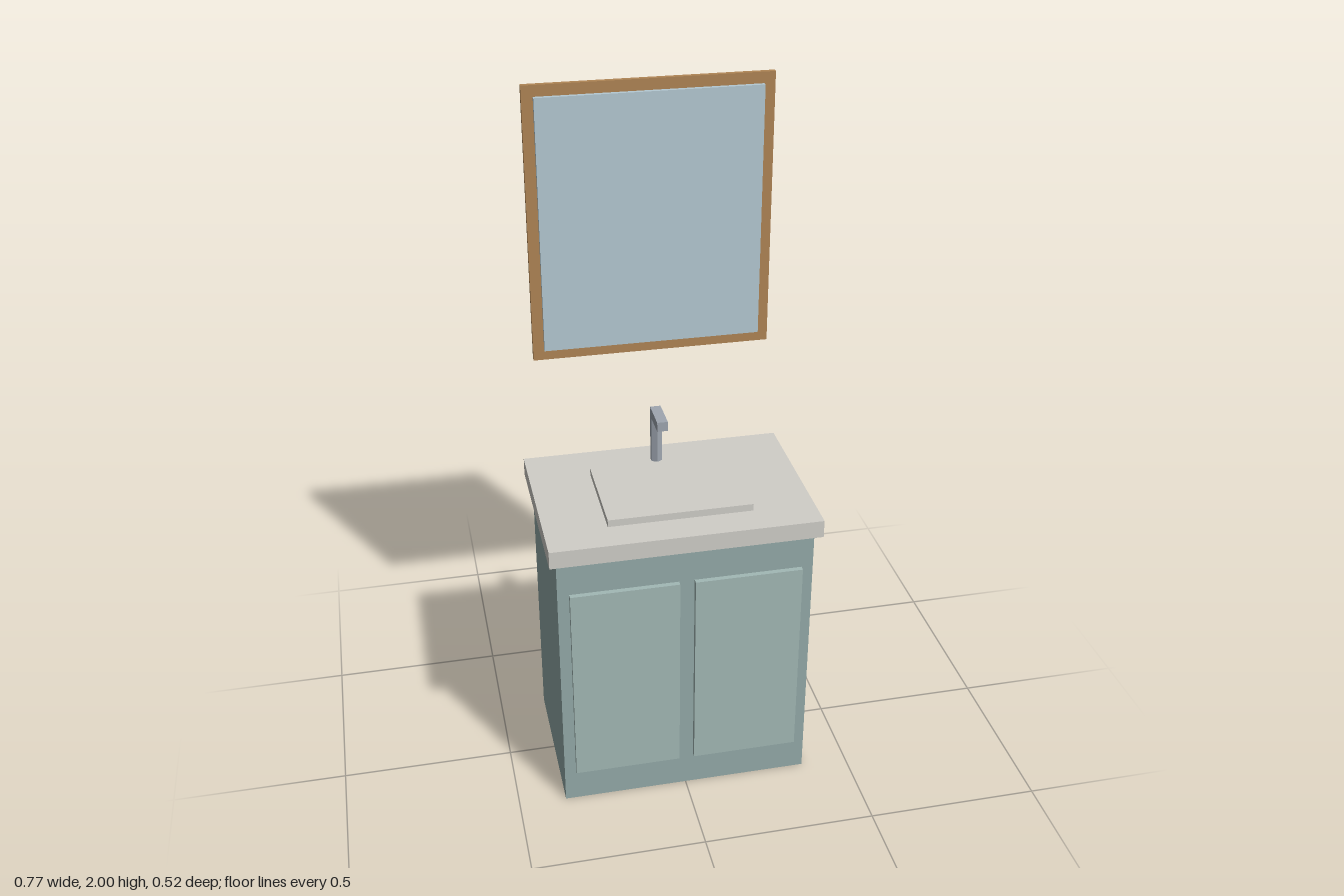
import * as THREE from 'three';

const mat = (color) => new THREE.MeshStandardMaterial({ color, flatShading: true });

// Box given by its [min, max] extent on each axis
function box(name, [x0, x1], [y0, y1], [z0, z1], material) {
  const mesh = new THREE.Mesh(new THREE.BoxGeometry(x1 - x0, y1 - y0, z1 - z0), material);
  mesh.position.set((x0 + x1) / 2, (y0 + y1) / 2, (z0 + z1) / 2);
  mesh.name = name;
  return mesh;
}

export function createModel() {
  const model = new THREE.Group();
  model.name = 'bathroomVanity';
  const cabinetMat = mat(0x93aaa8);
  const doorMat = mat(0xa2b8b5);
  const stoneMat = mat(0xd0cec8);
  const metalMat = mat(0x9fa6b0);
  const woodMat = mat(0xb08555);
  const glassMat = mat(0xb4c9d3);

  // Cabinet with two raised doors
  model.add(box('cabinet', [-0.363, 0.363], [0, 0.832], [-0.236, 0.239], cabinetMat));
  for (const [name, side] of [['leftDoor', 1], ['rightDoor', -1]]) {
    const door = box(name, [-0.154, 0.154], [0.105, 0.727], [0.23, 0.254], doorMat);
    door.position.x = side * 0.176;
    model.add(door);
  }

  // Countertop and raised basin slab
  model.add(box('countertop', [-0.383, 0.383], [0.832, 0.884], [-0.26, 0.26], stoneMat));
  model.add(box('basin', [-0.206, 0.206], [0.87, 0.905], [-0.125, 0.165], stoneMat));

  // Tap: hexagonal post with a square spout reaching forward
  const tap = new THREE.Group();
  tap.name = 'tap';
  const post = new THREE.Mesh(new THREE.CylinderGeometry(0.018, 0.018, 0.166, 6), metalMat);
  post.name = 'tapPost';
  post.position.set(0, 0.967, -0.177);
  tap.add(post, box('tapSpout', [-0.0155, 0.0155], [1.026, 1.055], [-0.187, -0.084], metalMat));
  model.add(tap);

  // Wall mirror: wooden backing with the glass standing proud of it
  const mirror = new THREE.Group();
  mirror.name = 'mirror';
  mirror.add(
    box('mirrorFrame', [-0.342, 0.342], [1.215, 2], [-0.247, -0.232], woodMat),
    box('mirrorGlass', [-0.311, 0.311], [1.247, 1.969], [-0.236, -0.219], glassMat)
  );
  model.add(mirror);
  return model;
}
